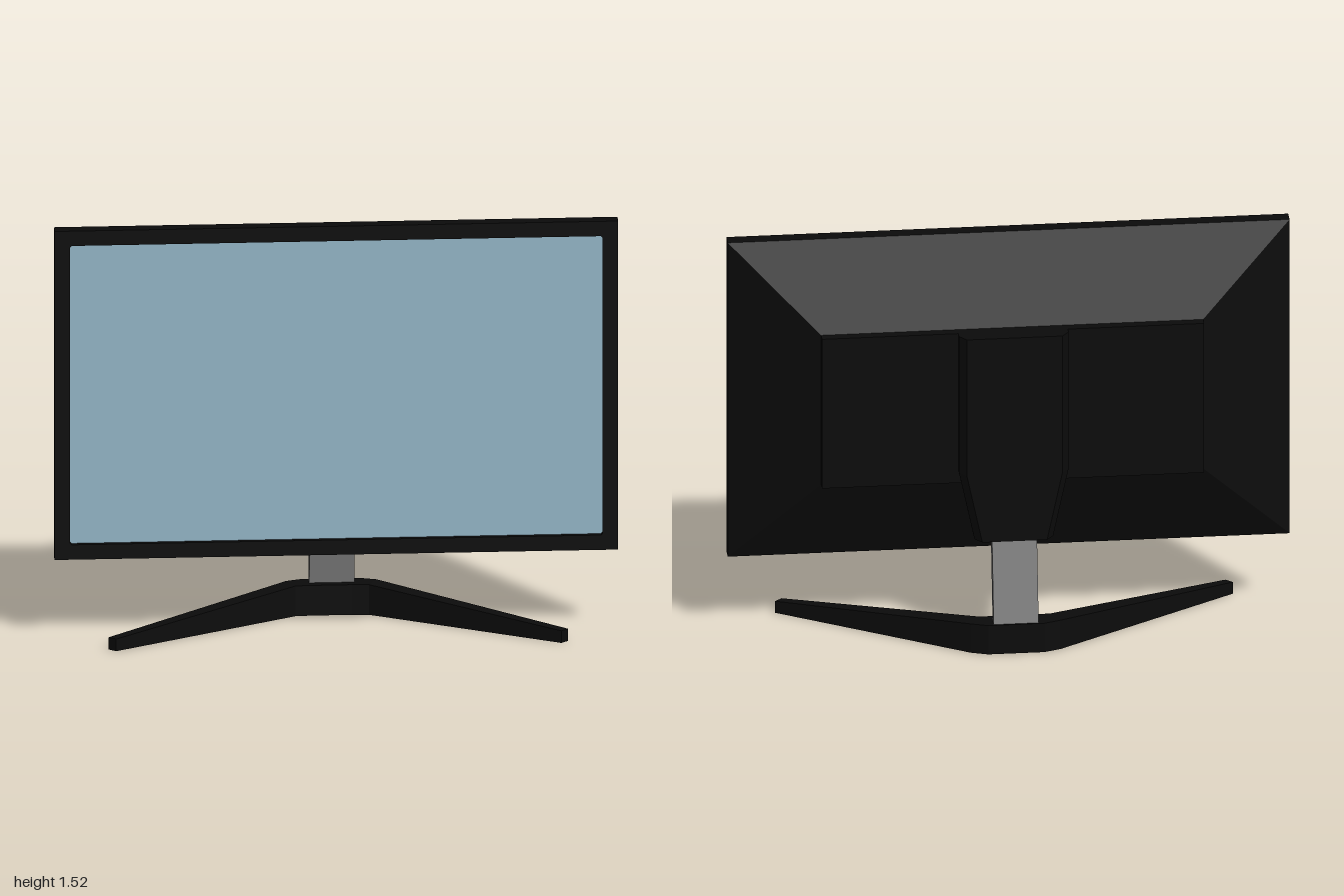
import * as THREE from 'three';

const black = new THREE.MeshStandardMaterial({ color: 0x0b0b0b });
black.name = 'black plastic';
const grey = new THREE.MeshStandardMaterial({ color: 0x808080 });
grey.name = 'grey metal';
const glass = new THREE.MeshStandardMaterial({ color: 0x96b8ca });
glass.name = 'pale blue screen';

// Flat-faced loft through convex rings, each running anticlockwise about the travel direction
function loft(rings) {
  const pos = [];
  const tri = (a, b, c) => pos.push(...a, ...b, ...c);
  const n = rings[0].length;
  for (let r = 0; r < rings.length - 1; r++) {
    const lo = rings[r], hi = rings[r + 1];
    for (let i = 0; i < n; i++) {
      const j = (i + 1) % n;
      tri(lo[i], lo[j], hi[j]);
      tri(lo[i], hi[j], hi[i]);
    }
  }
  const first = rings[0], last = rings[rings.length - 1];
  for (let i = 1; i < n - 1; i++) {
    tri(first[0], first[i + 1], first[i]);
    tri(last[0], last[i], last[i + 1]);
  }
  const geo = new THREE.BufferGeometry();
  geo.setAttribute('position', new THREE.Float32BufferAttribute(pos, 3));
  geo.computeVertexNormals();
  return geo;
}

// Rectangle with small clipped corners
function panelPoints(w, y0, y1, c) {
  return [
    [w - c, y0], [w, y0 + c], [w, y1 - c], [w - c, y1],
    [-w + c, y1], [-w, y1 - c], [-w, y0 + c], [-w + c, y0],
  ].map(([x, y]) => new THREE.Vector2(x, y));
}

export function createModel() {
  const model = new THREE.Group();
  model.name = 'monitor';
  const add = (name, geo, mat) => {
    const mesh = new THREE.Mesh(geo, mat);
    mesh.name = name;
    model.add(mesh);
    return mesh;
  };

  // Bezel with a shallow opening for the screen
  const outline = new THREE.Shape([[-1, 0.3], [1, 0.3], [1, 1.52], [-1, 1.52]].map(p => new THREE.Vector2(...p)));
  const opening = panelPoints(0.945, 0.355, 1.465, 0.006);
  outline.holes.push(new THREE.Path(opening));
  add('bezel', new THREE.ExtrudeGeometry(outline, { depth: 0.05, bevelEnabled: false }), black).position.z = 0.04;
  add('screen', new THREE.ShapeGeometry(new THREE.Shape(opening)), glass).position.z = 0.072;

  // Sloping back shell with a raised rectangular housing
  const rect = (w, y0, y1, z) => [[w, y0, z], [w, y1, z], [-w, y1, z], [-w, y0, z]];
  add('backShell', loft([
    rect(0.68, 0.62, 1.2, -0.115),
    rect(0.68, 0.62, 1.2, -0.08),
    rect(1, 0.3, 1.52, 0.04),
  ]), black);

  // Bevelled mount that narrows towards the neck
  const mountRing = (w, y) => [
    [w, y, -0.11], [w, y, -0.14], [w - 0.025, y, -0.172],
    [-w + 0.025, y, -0.172], [-w, y, -0.14], [-w, y, -0.11],
  ];
  add('mount', loft([mountRing(0.14, 0.41), mountRing(0.195, 0.67), mountRing(0.195, 1.2)]), black);

  // Leaning neck
  const neckRing = (y, front, back) => [[0.08, y, front], [0.08, y, back], [-0.08, y, back], [-0.08, y, front]];
  add('neck', loft([neckRing(0.1, -0.183, -0.225), neckRing(0.42, -0.123, -0.165)]), grey);

  // Swept V foot: front x, front z, back x, back z, height
  const half = [
    [0.07, -0.15, 0.1, -0.229, 0.112],
    [0.13, -0.147, 0.16, -0.208, 0.112],
    [0.79, 0.226, 0.815, 0.203, 0.045],
  ];
  const footRing = ([fx, fz, bx, bz, h], s) => [[s * bx, h, bz], [s * fx, h, fz], [s * fx, 0, fz], [s * bx, 0, bz]];
  add('foot', loft([
    ...[...half].reverse().map(p => footRing(p, -1)),
    ...half.map(p => footRing(p, 1)),
  ]), black);

  return model;
}
